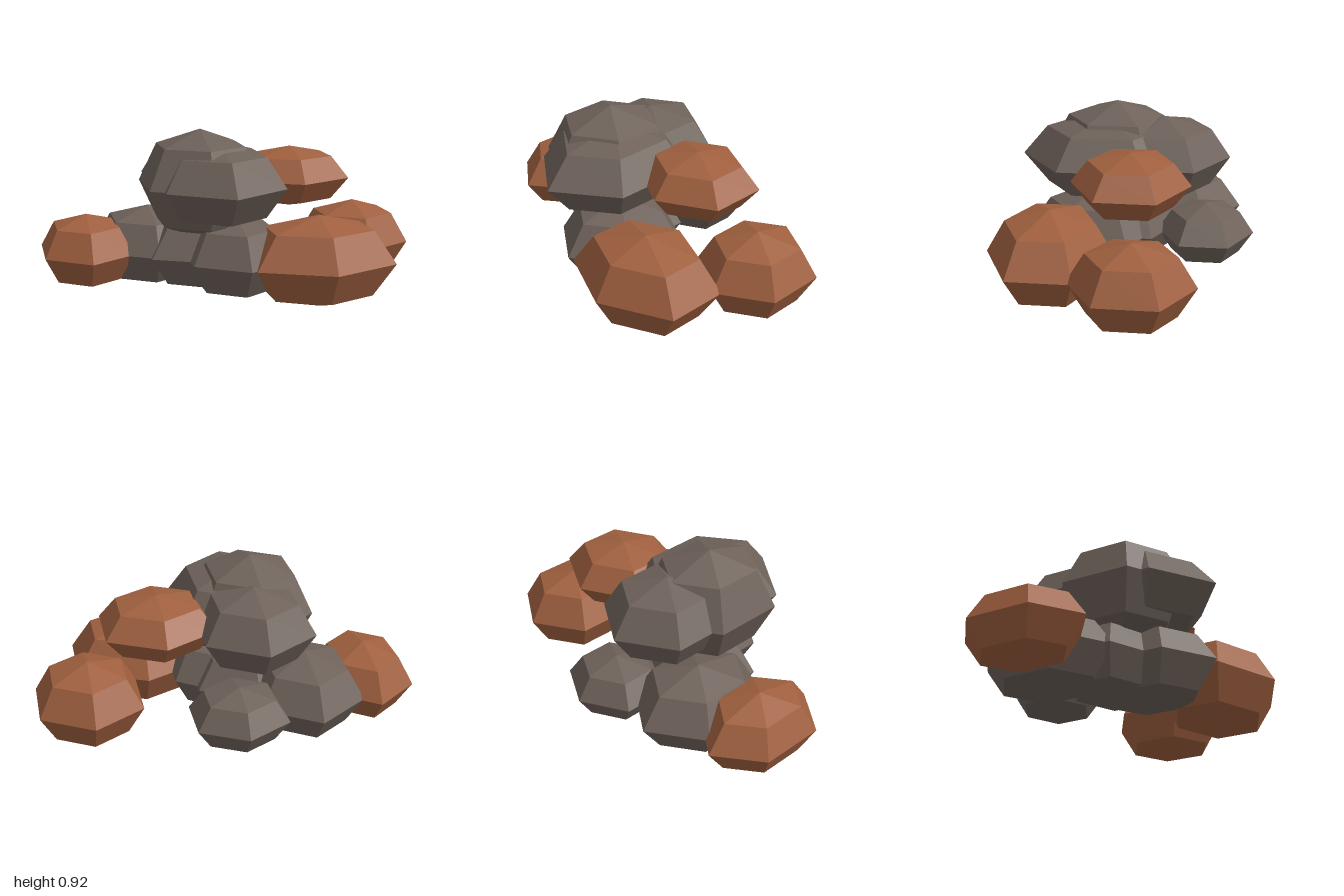
import * as THREE from 'three';

export function createModel() {
  const group = new THREE.Group();
  const stone = new THREE.MeshStandardMaterial({ color: 0x6e625a, flatShading: true });
  const rust = new THREE.MeshStandardMaterial({ color: 0xa0603f, flatShading: true });

  // Six-sided boulder with its corners pointing along z
  const boulder = new THREE.SphereGeometry(1, 6, 4).rotateY(Math.PI / 2);
  const flatToFlat = Math.cos(Math.PI / 6);

  // halfX, halfY and halfZ are half the boulder's extents
  function addRock(name, material, [x, y, z], [halfX, halfY, halfZ]) {
    const rock = new THREE.Mesh(boulder, material);
    rock.name = name;
    rock.position.set(x, y, z);
    rock.scale.set(halfX / flatToFlat, halfY, halfZ);
    group.add(rock);
  }

  // Lower layer
  addRock('lowerLeftStone', stone, [-0.415, 0.247, -0.23], [0.28, 0.22, 0.38]);
  addRock('lowerMiddleStone', stone, [-0.155, 0.247, 0], [0.3, 0.21, 0.3]);
  addRock('lowerFrontStone', stone, [-0.01, 0.247, 0.16], [0.26, 0.224, 0.37]);
  addRock('lowerBackStone', stone, [-0.01, 0.247, -0.43], [0.24, 0.163, 0.26]);
  addRock('frontRustRock', rust, [0.39, 0.245, 0.352], [0.37, 0.245, 0.338]);
  addRock('sideRustRock', rust, [0.73, 0.247, -0.105], [0.27, 0.223, 0.325]);
  addRock('farRustRock', rust, [-0.767, 0.247, -0.15], [0.233, 0.2, 0.35]);

  // Upper layer
  addRock('topStone', stone, [-0.18, 0.63, 0.07], [0.3, 0.29, 0.38]);
  addRock('upperFrontStone', stone, [-0.095, 0.63, 0.118], [0.315, 0.226, 0.46]);
  addRock('upperBackStone', stone, [-0.14, 0.63, -0.19], [0.29, 0.22, 0.36]);
  addRock('upperRustRock', rust, [0.345, 0.63, -0.06], [0.29, 0.165, 0.31]);

  return group;
}
